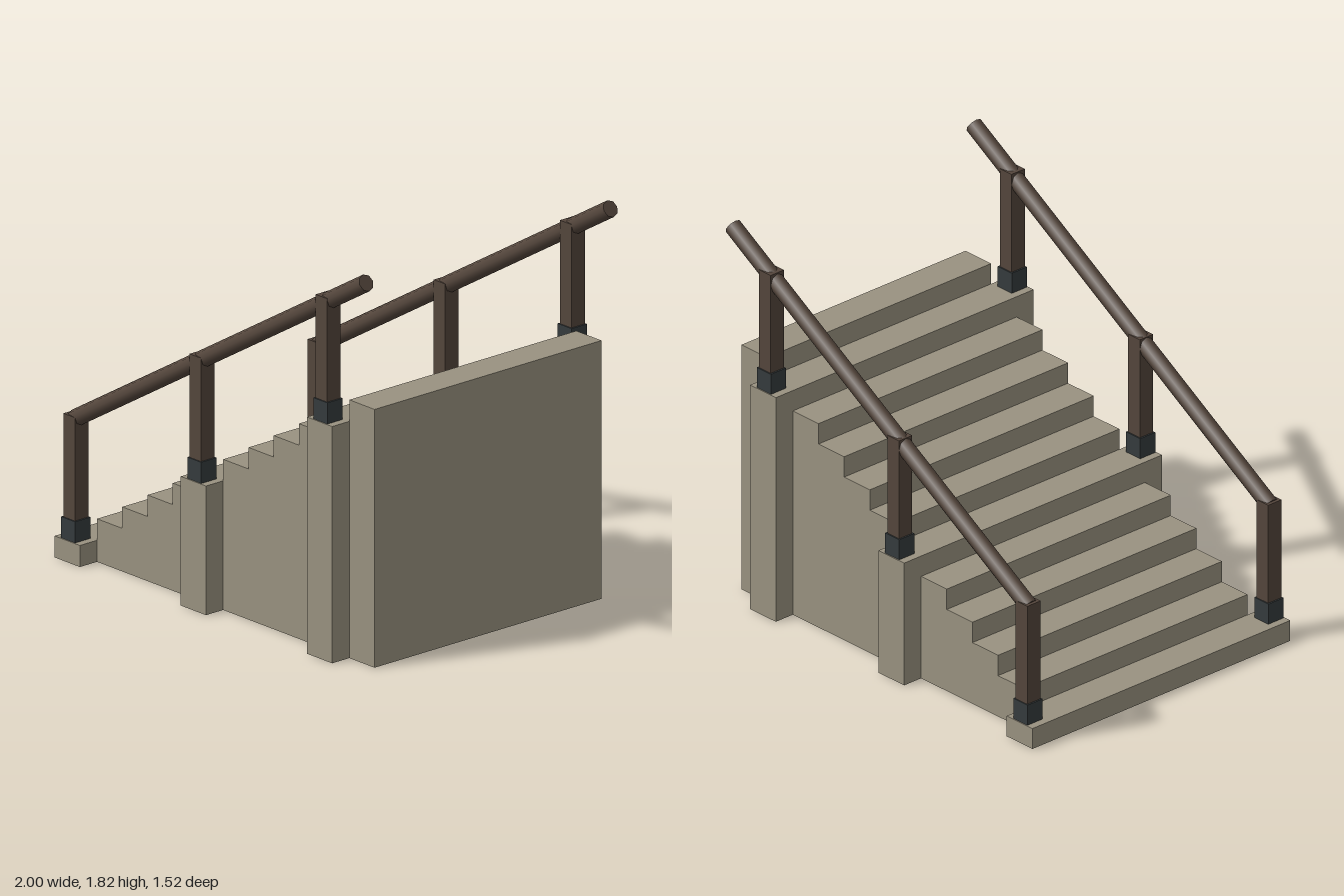
import * as THREE from 'three';

const STEPS = 12, RUN = 0.1644, RISE = 0.0993, X0 = -1;
const HALF = 0.66, PIER = 0.1;

const stone = new THREE.MeshStandardMaterial({ color: 0x999280 });
const wood = new THREE.MeshStandardMaterial({ color: 0x54463c });
const iron = new THREE.MeshStandardMaterial({ color: 0x353b3d });

function box(name, w, h, d, x, bottom, z, material) {
  const mesh = new THREE.Mesh(new THREE.BoxGeometry(w, h, d), material);
  mesh.position.set(x, bottom + h / 2, z);
  mesh.name = name;
  return mesh;
}

// Solid flight of steps, extruded across z from its stepped side profile
function makeSteps() {
  const shape = new THREE.Shape();
  shape.moveTo(X0, 0);
  shape.lineTo(X0 + STEPS * RUN, 0);
  for (let i = STEPS; i > 0; i--) {
    shape.lineTo(X0 + i * RUN, i * RISE);
    shape.lineTo(X0 + (i - 1) * RUN, i * RISE);
  }
  const geometry = new THREE.ExtrudeGeometry(shape, { depth: HALF * 2, bevelEnabled: false });
  geometry.translate(0, 0, -HALF);
  const mesh = new THREE.Mesh(geometry, stone);
  mesh.name = 'steps';
  return mesh;
}

// Piers, posts and sloping handrail for one side
function makeSide(side) {
  const group = new THREE.Group();
  group.name = side > 0 ? 'frontRailing' : 'backRailing';
  const z = side * 0.71;

  for (const i of [0, 5, 10]) {
    const top = (i + 1) * RISE;
    const x = X0 + (i + 0.5) * RUN;
    group.add(
      box('pier', RUN, top, PIER, x, 0, side * (HALF + PIER / 2), stone),
      box('postBase', 0.09, 0.098, 0.09, x, top, z, iron),
      box('post', 0.075, 0.575, 0.078, x, top, z, wood)
    );
  }

  // Eight-sided handrail following the slope of the steps
  const start = new THREE.Vector3(-0.925, 0.65, z);
  const end = new THREE.Vector3(0.975, 1.788, z);
  const along = end.clone().sub(start);
  const rail = new THREE.Mesh(new THREE.CylinderGeometry(0.039, 0.039, along.length(), 8), wood);
  rail.position.copy(start).add(end).multiplyScalar(0.5);
  rail.rotation.z = Math.atan2(along.y, along.x) - Math.PI / 2;
  rail.name = 'handrail';
  group.add(rail);
  return group;
}

export function createModel() {
  const model = new THREE.Group();
  model.name = 'staircase';
  model.add(makeSteps(), makeSide(1), makeSide(-1));
  return model;
}
